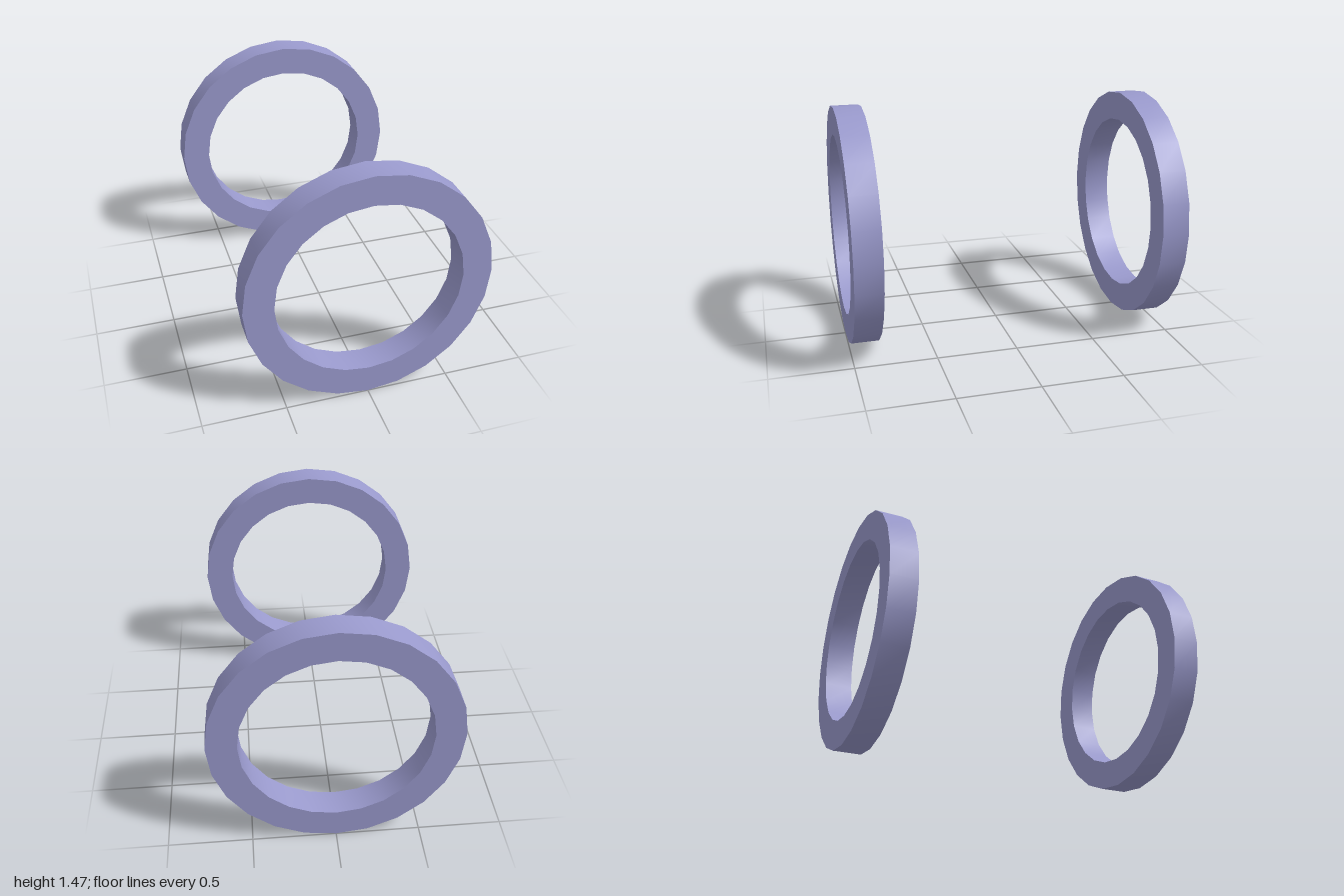
import * as THREE from 'three';
import { toCreasedNormals } from 'three/addons/utils/BufferGeometryUtils.js';

const OUTER = 0.733, INNER = 0.556, WIDTH = 0.168, SIDES = 24;

// Square-section ring: smooth around, sharp at its four rims
function ringGeometry() {
  const h = WIDTH / 2;
  const profile = [
    [OUTER, -h], [OUTER, h], [INNER, h], [INNER, -h], [OUTER, -h],
  ].map(([r, y]) => new THREE.Vector2(r, y));
  const lathe = new THREE.LatheGeometry(profile, SIDES);
  lathe.rotateX(Math.PI / 2);
  return toCreasedNormals(lathe, Math.PI / 6);
}

export function createModel() {
  const model = new THREE.Group();
  model.name = 'ringPair';
  const material = new THREE.MeshStandardMaterial({ color: 0x9999cc });
  const geometry = ringGeometry();

  // One upright ring at each end
  for (const [name, side] of [['frontRing', 1], ['backRing', -1]]) {
    const ring = new THREE.Mesh(geometry, material);
    ring.name = name;
    ring.position.set(0, OUTER, side * (1 - WIDTH / 2));
    model.add(ring);
  }
  return model;
}
